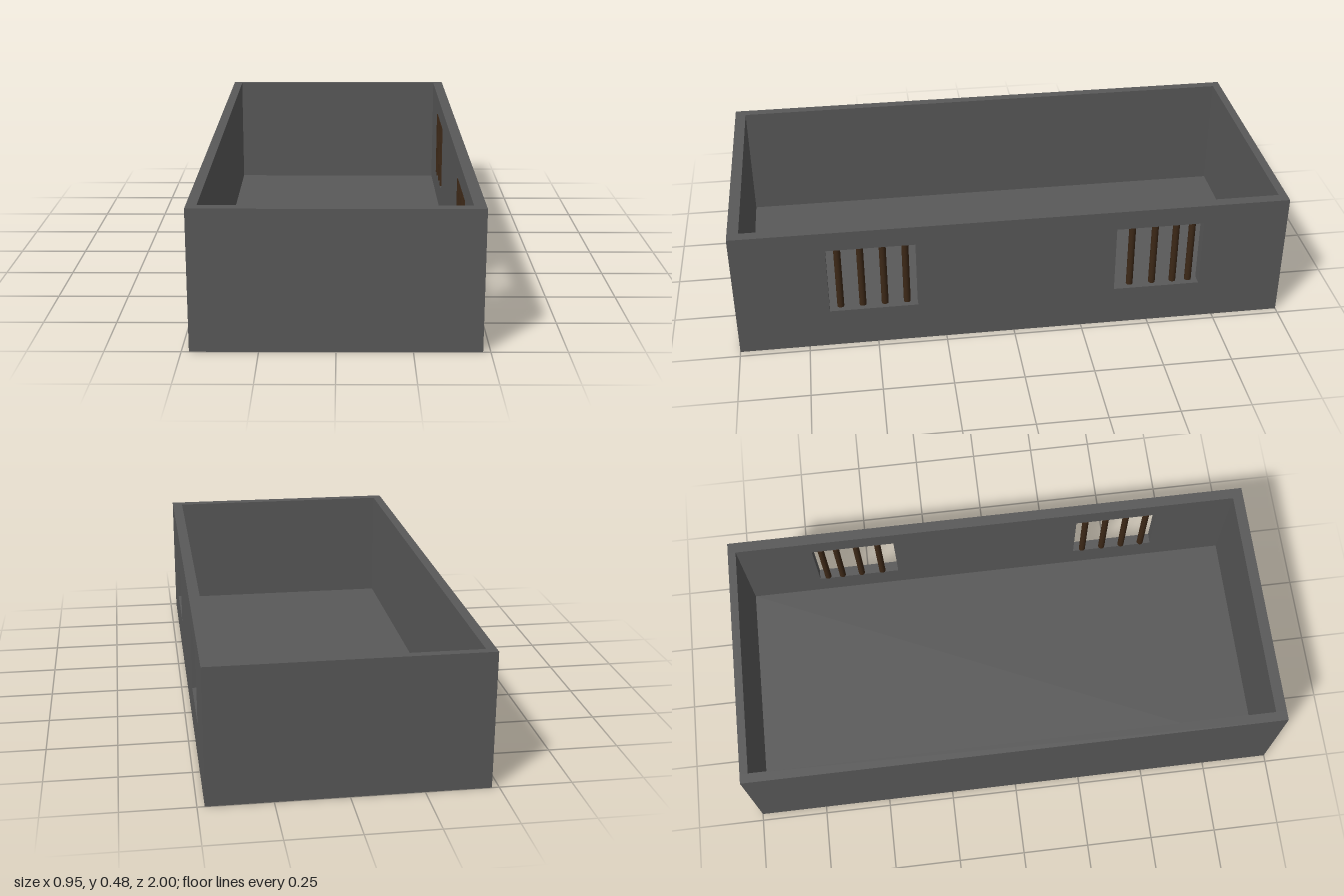
import * as THREE from 'three';

export function createModel() {
  const model = new THREE.Group();
  const stone = new THREE.MeshStandardMaterial({ color: 0x595959 });
  stone.name = 'stone grey';
  const rust = new THREE.MeshStandardMaterial({ color: 0x3c2817 });
  rust.name = 'dark brown';

  const H = 0.483, FLOOR = 0.045;
  const OUT = { x: 0.475, z: 1 };
  const IN = { left: 0.435, right: -0.44, front: 0.96, back: -0.97 };

  function add(name, geometry, material, parent = model) {
    const mesh = new THREE.Mesh(geometry, material);
    mesh.name = name;
    parent.add(mesh);
    return mesh;
  }

  // Box given by its limits on each axis
  function block(name, [x0, x1], [y0, y1], [z0, z1]) {
    add(name, new THREE.BoxGeometry(x1 - x0, y1 - y0, z1 - z0), stone)
      .position.set((x0 + x1) / 2, (y0 + y1) / 2, (z0 + z1) / 2);
  }

  // Floor and the three plain walls
  block('floor', [IN.right, IN.left], [0, FLOOR], [IN.back, IN.front]);
  block('frontWall', [IN.right, IN.left], [0, H], [IN.front, OUT.z]);
  block('backWall', [IN.right, IN.left], [0, H], [-OUT.z, IN.back]);
  block('rightWall', [-OUT.x, IN.right], [0, H], [-OUT.z, OUT.z]);

  // Left wall with two barred windows
  const windows = [
    { name: 'frontWindowBars', z: [0.35, 0.668], bars: [0.628, 0.548, 0.468, 0.388] },
    { name: 'backWindowBars', z: [-0.688, -0.37], bars: [-0.434, -0.518, -0.596, -0.655] },
  ];
  const SILL = 0.15, LINTEL = 0.41;

  // Rectangle drawn in the wall plane (shape x runs along -z)
  function rectangle(path, z0, z1, y0, y1) {
    path.moveTo(-z1, y0);
    path.lineTo(-z0, y0);
    path.lineTo(-z0, y1);
    path.lineTo(-z1, y1);
    path.closePath();
    return path;
  }
  const wall = rectangle(new THREE.Shape(), -OUT.z, OUT.z, 0, H);
  for (const w of windows) wall.holes.push(rectangle(new THREE.Path(), ...w.z, SILL, LINTEL));
  const wallGeometry = new THREE.ExtrudeGeometry(wall, { depth: OUT.x - IN.left, bevelEnabled: false });
  wallGeometry.rotateY(Math.PI / 2);
  add('leftWall', wallGeometry, stone).position.x = IN.left;

  // Upright bars, set towards the inner face of the wall
  const barGeometry = new THREE.CylinderGeometry(0.0125, 0.0125, LINTEL - SILL, 16);
  for (const w of windows) {
    const group = new THREE.Group();
    group.name = w.name;
    for (const z of w.bars) {
      add('bar', barGeometry, rust, group).position.set(0.444, (SILL + LINTEL) / 2, z);
    }
    model.add(group);
  }

  return model;
}
